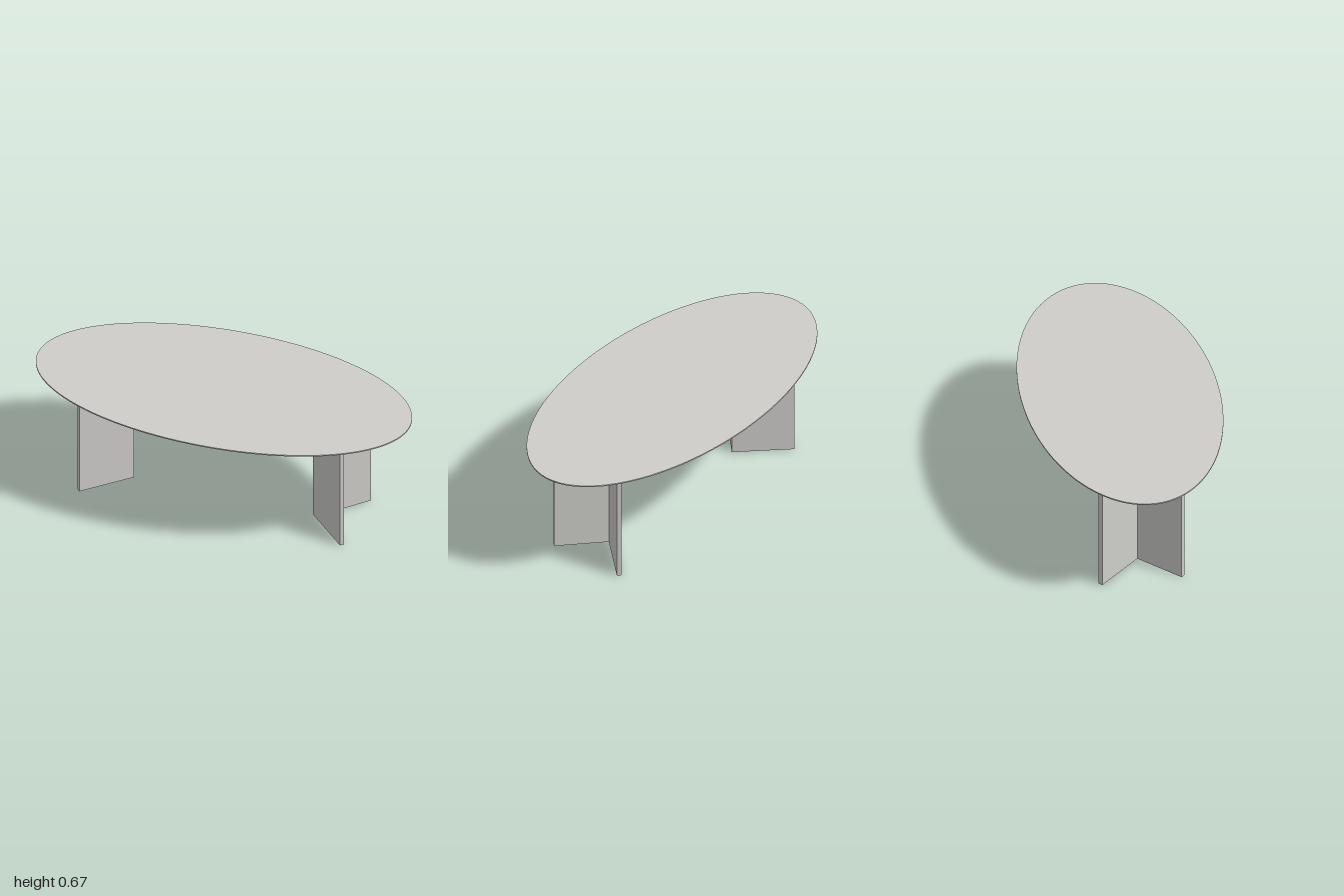
import * as THREE from 'three';
import { toCreasedNormals } from 'three/addons/utils/BufferGeometryUtils.js';

const LEG_HEIGHT = 0.627;
const TOP_HEIGHT = 0.667;

// Oval top: a lathed disc with a thin rim and a wide under-bevel, squeezed to an ellipse
function makeTop(material) {
  const inset = 0.495; // difference between the long and short radius
  const profile = [
    [0, LEG_HEIGHT], [0.925, LEG_HEIGHT], [1, 0.66], [1, TOP_HEIGHT], [0, TOP_HEIGHT],
  ].map(([r, y]) => new THREE.Vector2(r, y));
  const geometry = new THREE.LatheGeometry(profile, 128);

  // Keep the bevel equally wide all the way round
  const pos = geometry.attributes.position;
  for (let i = 0; i < pos.count; i++) {
    const r = Math.hypot(pos.getX(i), pos.getZ(i));
    if (r > inset) pos.setZ(i, pos.getZ(i) * (r - inset) / r);
  }
  const mesh = new THREE.Mesh(toCreasedNormals(geometry, 0.25), material);
  mesh.name = 'tableTop';
  return mesh;
}

// Leg: two panels meeting at a right angle, opening towards the end of the table
function makeLeg(name, side, shift, material) {
  const plan = [
    [0.514, 0], [0.717, 0.194], [0.701, 0.21],
    [0.481, 0], [0.701, -0.232], [0.717, -0.2155],
  ];
  const shape = new THREE.Shape(plan.map(([x, z]) => new THREE.Vector2(side * x + shift, -z)));
  const geometry = new THREE.ExtrudeGeometry(shape, { depth: LEG_HEIGHT, bevelEnabled: false });
  geometry.rotateX(-Math.PI / 2);
  const mesh = new THREE.Mesh(geometry, material);
  mesh.name = name;
  return mesh;
}

export function createModel() {
  const stone = new THREE.MeshStandardMaterial({ color: 0xcfcecb });
  stone.name = 'paleStone';

  const table = new THREE.Group();
  table.name = 'ovalTable';
  table.add(
    makeTop(stone),
    makeLeg('leftLeg', 1, 0, stone),
    makeLeg('rightLeg', -1, -0.005, stone),
  );
  return table;
}
